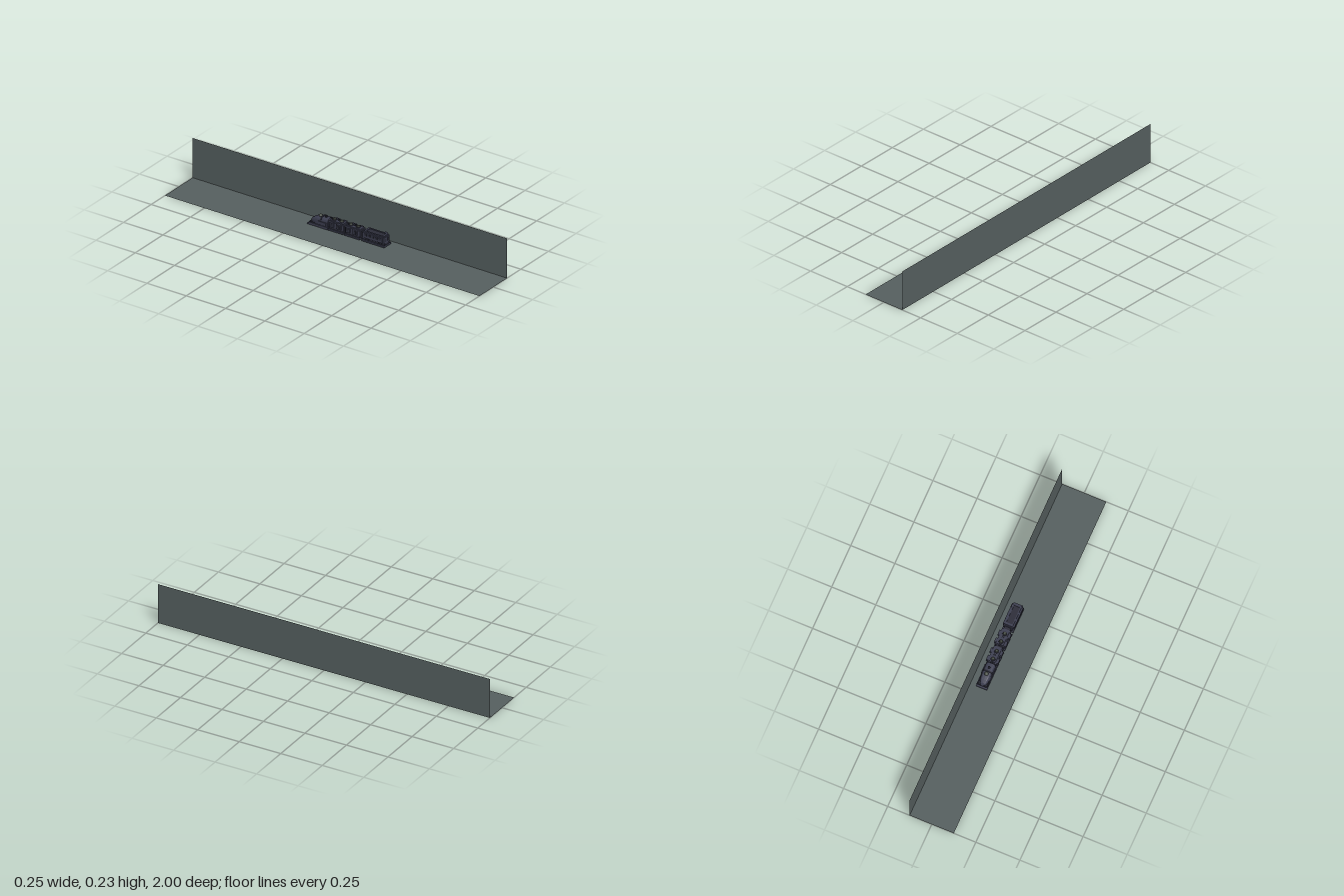
import * as THREE from 'three';

export function createModel() {
  const root = new THREE.Group();
  const material = (name, color, side = THREE.FrontSide) => {
    const m = new THREE.MeshStandardMaterial({ color, side, flatShading: true });
    m.name = name;
    return m;
  };
  const slate = material('slate grey', 0x566060, THREE.DoubleSide);
  const navy = material('dark blue grey', 0x3c3e50);
  const dark = material('charcoal', 0x2b2c38);
  const olive = material('grey green', 0x4a5048);

  const add = (parent, name, geo, mat, x = 0, y = 0, z = 0) => {
    const mesh = new THREE.Mesh(geo, mat);
    mesh.name = name;
    mesh.position.set(x, y, z);
    parent.add(mesh);
    return mesh;
  };
  const box = (parent, name, w, h, d, mat, x, y, z) =>
    add(parent, name, new THREE.BoxGeometry(w, h, d), mat, x, y, z);

  // Floor with a long upright wall on its left edge
  add(root, 'floor', new THREE.PlaneGeometry(0.25, 2), slate).rotation.x = -Math.PI / 2;
  add(root, 'wall', new THREE.PlaneGeometry(2, 0.232), slate, 0.125, 0.116, 0).rotation.y = -Math.PI / 2;

  // Train stands beside the wall with its nose towards -z
  const train = new THREE.Group();
  train.name = 'train';
  train.position.x = 0.062;
  root.add(train);

  // Hull from cross-sections [z, half width, top height], rounded over the top
  function hull(sections, bottom) {
    const n = 12, pos = [], idx = [];
    for (const [z, w, top] of sections) {
      for (let i = 0; i <= n; i++) {
        const a = Math.PI * i / n, c = Math.cos(a), s = Math.sin(a);
        pos.push(Math.sign(c) * Math.sqrt(Math.abs(c)) * w, bottom + (top - bottom) * Math.sqrt(s), z);
      }
    }
    const row = n + 1, last = (sections.length - 1) * row;
    for (let j = 0; j < sections.length - 1; j++) {
      for (let i = 0; i < row; i++) {
        const a = j * row + i, b = j * row + (i + 1) % row;
        idx.push(a, b, a + row, b, b + row, a + row);
      }
    }
    for (let i = 1; i < n; i++) {
      idx.push(0, i + 1, i);
      idx.push(last, last + i, last + i + 1);
    }
    const g = new THREE.BufferGeometry();
    g.setAttribute('position', new THREE.Float32BufferAttribute(pos, 3));
    g.setIndex(idx);
    g.computeVertexNormals();
    return g;
  }

  // Wheels in pairs under each vehicle
  function wheels(parent, zs) {
    for (const z of zs) for (const s of [-1, 1]) {
      add(parent, 'wheel', new THREE.CylinderGeometry(0.008, 0.008, 0.004, 12), dark, s * 0.023, 0.011, z)
        .rotation.z = Math.PI / 2;
    }
  }

  // Locomotive: low ram plate and a rounded, sloping nose
  const loco = new THREE.Group();
  loco.name = 'locomotive';
  train.add(loco);
  box(loco, 'ramPlate', 0.062, 0.005, 0.135, navy, 0, 0.0065, -0.139);
  box(loco, 'chassis', 0.05, 0.012, 0.118, dark, 0, 0.015, -0.137);
  add(loco, 'noseHull', hull([
    [-0.196, 0.008, 0.024], [-0.188, 0.017, 0.037], [-0.172, 0.023, 0.048],
    [-0.15, 0.026, 0.056], [-0.12, 0.027, 0.06], [-0.078, 0.027, 0.062],
  ], 0.014), navy);
  add(loco, 'collar', hull([[-0.128, 0.029, 0.063], [-0.12, 0.029, 0.063]], 0.014), dark);
  add(loco, 'roofDome', new THREE.SphereGeometry(0.011, 12, 6, 0, Math.PI * 2, 0, Math.PI / 2), olive, 0, 0.057, -0.14);
  add(loco, 'chimney', new THREE.CylinderGeometry(0.006, 0.007, 0.012, 10), dark, 0, 0.063, -0.104);
  for (const s of [-1, 1]) {
    box(loco, 'sidePod', 0.006, 0.016, 0.05, navy, s * 0.028, 0.032, -0.112);
    box(loco, 'sideSkirt', 0.004, 0.01, 0.12, navy, s * 0.029, 0.013, -0.136);
  }
  wheels(loco, [-0.175, -0.15, -0.125, -0.1]);

  // Two middle cars with side pods and roof turrets
  for (const [start, end] of [[-0.073, 0.022], [0.03, 0.128]]) {
    const car = new THREE.Group(), len = end - start;
    car.name = 'turretCar';
    car.position.z = (start + end) / 2;
    train.add(car);
    box(car, 'chassis', 0.062, 0.009, len, navy, 0, 0.0095, 0);
    box(car, 'underbody', 0.05, 0.012, len - 0.006, dark, 0, 0.018, 0);
    box(car, 'body', 0.05, 0.032, len, navy, 0, 0.038, 0);
    box(car, 'roof', 0.038, 0.008, len - 0.01, navy, 0, 0.057, 0);
    for (const z of [-0.027, 0.02]) {
      add(car, 'turretBase', new THREE.CylinderGeometry(0.012, 0.013, 0.004, 12), dark, 0, 0.062, z);
      add(car, 'turret', new THREE.CylinderGeometry(0.007, 0.01, 0.006, 10), olive, 0, 0.066, z);
      for (const s of [-1, 1]) {
        const gun = add(car, 'gunBarrel', new THREE.CylinderGeometry(0.0016, 0.0016, 0.024, 6), dark, s * 0.004, 0.066, z - 0.014);
        gun.rotation.x = Math.PI / 2;
        box(car, 'sidePod', 0.009, 0.028, 0.026, navy, s * 0.029, 0.042, z);
        box(car, 'podHatch', 0.002, 0.016, 0.014, dark, s * 0.034, 0.042, z);
      }
    }
    wheels(car, [-0.034, -0.018, 0.018, 0.034]);
  }

  // Couplings between the vehicles
  for (const z of [-0.0755, 0.026, 0.134]) {
    box(train, 'gangway', 0.036, 0.038, 0.016, dark, 0, 0.032, z);
  }

  // Rear car with a framed, recessed roof and a windowed end
  const rear = new THREE.Group();
  rear.name = 'rearCar';
  rear.position.z = 0.212;
  train.add(rear);
  box(rear, 'chassis', 0.062, 0.009, 0.145, navy, 0, 0.0095, 0);
  box(rear, 'underbody', 0.046, 0.012, 0.138, dark, 0, 0.018, 0);
  box(rear, 'body', 0.052, 0.034, 0.136, navy, 0, 0.041, 0);
  box(rear, 'roofPanel', 0.042, 0.004, 0.126, dark, 0, 0.059, 0);
  for (const s of [-1, 1]) {
    box(rear, 'roofRail', 0.006, 0.008, 0.126, navy, s * 0.02, 0.061, 0);
    box(rear, 'roofEnd', 0.034, 0.008, 0.012, navy, 0, 0.061, s * 0.057);
    box(rear, 'sideGallery', 0.007, 0.03, 0.12, navy, s * 0.028, 0.043, 0);
    for (let i = 0; i < 5; i++) {
      box(rear, 'sideWindow', 0.002, 0.012, 0.014, dark, s * 0.0318, 0.047, -0.044 + i * 0.022);
    }
    box(rear, 'endWindow', 0.01, 0.018, 0.002, dark, s * 0.012, 0.042, 0.0685);
    box(rear, 'buffer', 0.008, 0.006, 0.008, dark, s * 0.02, 0.017, 0.07);
  }
  box(rear, 'endDoor', 0.01, 0.026, 0.003, navy, 0, 0.038, 0.0685);
  const lamp = box(rear, 'roofLamp', 0.008, 0.008, 0.014, navy, 0.026, 0.063, 0.045);
  lamp.rotation.z = 0.5;
  wheels(rear, [-0.052, -0.034, 0.034, 0.052]);

  return root;
}
